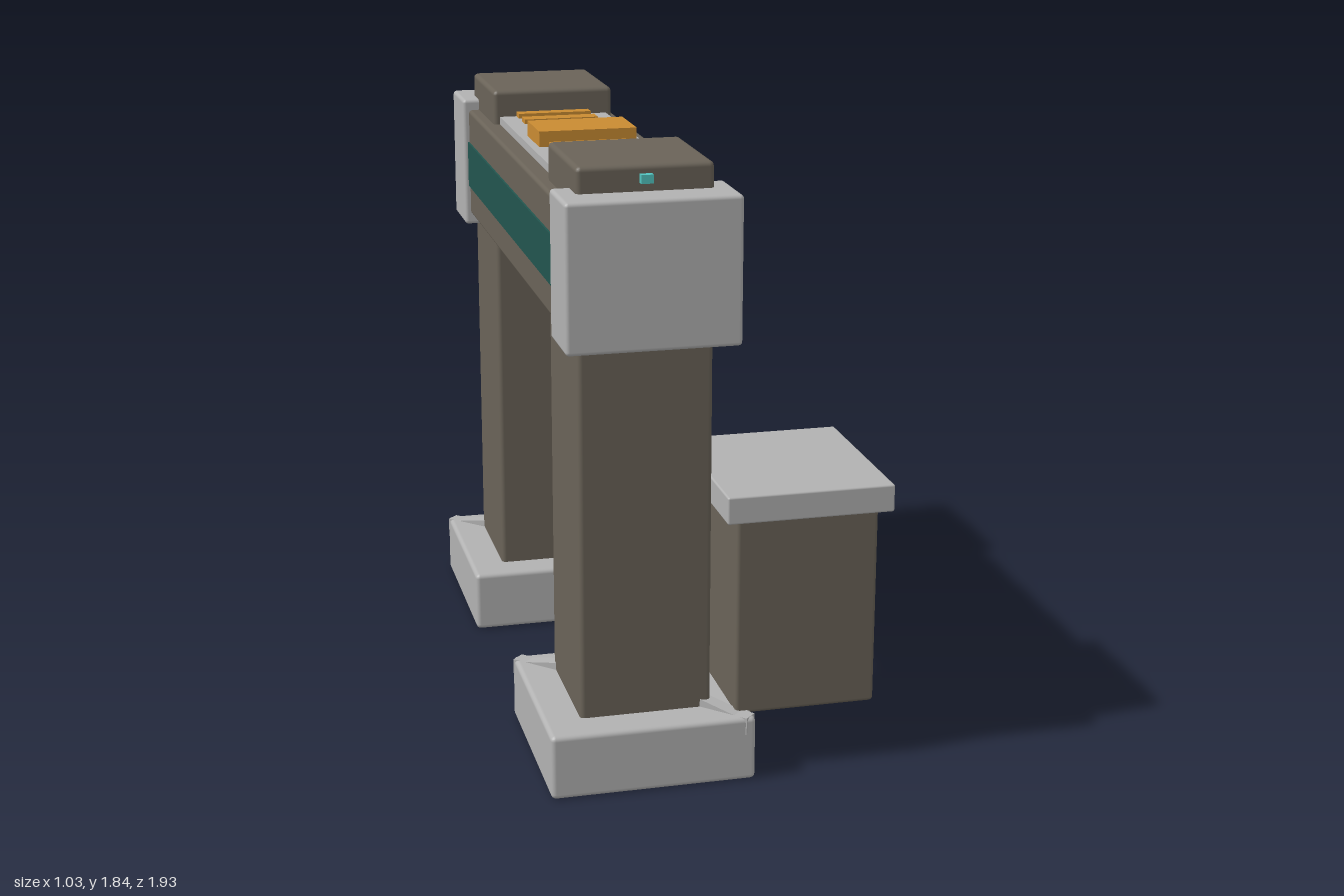
import * as THREE from 'three';
import { RoundedBoxGeometry } from 'three/addons/geometries/RoundedBoxGeometry.js';

const mat = (name, color) => {
  const m = new THREE.MeshStandardMaterial({ color });
  m.name = name;
  return m;
};

export function createModel() {
  const root = new THREE.Group();
  root.name = 'gantry';
  const stone = mat('brown grey', 0x6a6358);
  const grey = mat('light grey', 0xb2b2b2);
  const teal = mat('dark teal', 0x22554f);
  const orange = mat('orange', 0xc98b32);
  const tan = mat('tan', 0xc8ae86);
  const cyan = mat('cyan', 0x52c4c0);

  // Box given by its extents; r > 0 rounds the edges
  function box(name, material, [x0, x1], [y0, y1], [z0, z1], r = 0, parent = root) {
    const w = x1 - x0, h = y1 - y0, d = z1 - z0;
    const geo = r ? new RoundedBoxGeometry(w, h, d, 2, r) : new THREE.BoxGeometry(w, h, d);
    const mesh = new THREE.Mesh(geo, material);
    mesh.name = name;
    mesh.position.set((x0 + x1) / 2, (y0 + y1) / 2, (z0 + z1) / 2);
    parent.add(mesh);
    return mesh;
  }
  const span = (s, a, b) => (s > 0 ? [a, b] : [-b, -a]);
  const cx = -0.208;

  // Corner clamp on a base: sloping arm and end nub, pointing along +z
  function clamp() {
    const g = new THREE.Group();
    g.name = 'baseClamp';
    const arm = box('clampArm', grey, [-0.022, 0.022], [-0.014, 0.014], [-0.085, 0.085], 0, g);
    arm.position.set(0, 0.196, 0.312);
    arm.rotation.x = 0.2;
    box('clampNub', grey, [-0.023, 0.023], [0.145, 0.198], [0.37, 0.416], 0, g);
    return g;
  }

  // Two legs with bases, end caps, brackets and lamps
  for (const s of [1, -1]) {
    const end = s > 0 ? 'front' : 'back';
    box(end + 'Base', grey, [-0.515, 0.1], [0, 0.198], span(s, 0.35, 0.965), 0.015);
    box(end + 'Column', stone, [-0.405, -0.01], [0.18, 1.84], span(s, 0.455, 0.853), 0.015);
    box(end + 'EndCap', grey, [-0.46, 0.045], [1.335, 1.765], span(s, 0.75, 0.965), 0.012);
    box(end + 'Bracket', grey, [cx - 0.1, cx + 0.1], [1.24, 1.38], span(s, 0.222, 0.47));
    box(end + 'DownLamp', cyan, [cx - 0.025, cx + 0.025], [1.203, 1.24], span(s, 0.341, 0.389));
    box(end + 'MarkerLamp', s > 0 ? cyan : orange, [-0.226, -0.19], [1.79, 1.815], span(s, 0.85, 0.876));
    for (const turn of [0, Math.PI]) {
      const c = clamp();
      c.position.set(cx, 0, s * 0.657);
      c.position.y = 0;
      c.rotation.y = Math.PI / 4 + turn;
      c.position.x += (turn ? -1 : 1) * 0.0;
      root.add(c);
    }
  }

  // Cross beam with side stripes
  box('beam', stone, [-0.44, 0.025], [1.37, 1.73], [-0.8, 0.8], 0.012);
  box('rightStripe', teal, [0.024, 0.03], [1.47, 1.62], [-0.755, 0.755]);
  box('leftStripe', teal, [-0.446, -0.439], [1.47, 1.62], [-0.755, 0.755]);

  // Sign plate on the beam
  box('signPlate', grey, [0.028, 0.054], [1.405, 1.62], [-0.197, 0.2]);
  box('signBar', orange, [0.05, 0.073], [1.485, 1.54], [-0.142, 0.145]);

  // Top tray with slats and centre block
  box('tray', grey, [-0.385, -0.03], [1.72, 1.755], [-0.46, 0.46]);
  for (let i = 0; i < 8; i++) {
    const z = -0.438 + i * 0.124 - (i > 3 ? 0.0 : 0) - (i * 0.0);
    const zc = i < 4 ? -0.438 + i * 0.108 : 0.106 + (i - 4) * 0.108;
    box('slat', orange, [-0.33, -0.09], [1.75, 1.77], [zc - 0.028, zc + 0.028]);
  }
  box('centreBlock', orange, [-0.36, -0.055], [1.75, 1.803], [-0.1, 0.097]);

  // Cabinet beside the front leg
  box('cabinet', stone, [0.05, 0.48], [0.187, 0.81], [0.408, 0.91], 0.012);
  box('cabinetLid', grey, [0.012, 0.516], [0.798, 0.881], [0.368, 0.945], 0.006);
  box('cabinetPanel', tan, [0.475, 0.5], [0.507, 0.63], [0.53, 0.78]);

  return root;
}
